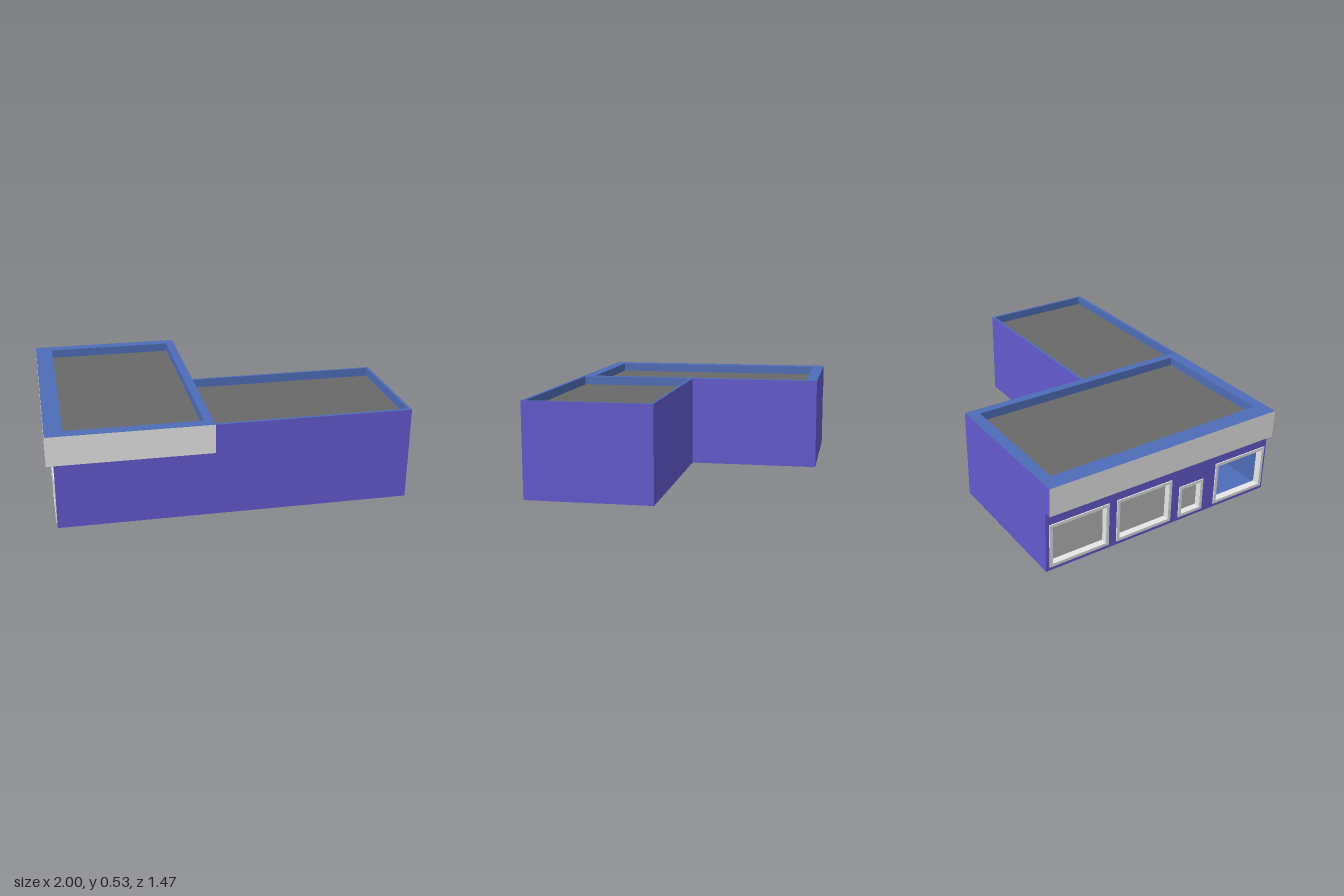
import * as THREE from 'three';

const H = 0.53, SIGN = 0.365, DECK = 0.48; // roof edge, signboard underside, roof deck
const FRONT = 0.735, BACK = -0.735, STEP = 0.029;

const paint = (name, color) => {
  const m = new THREE.MeshStandardMaterial({ color });
  m.name = name;
  return m;
};

// Vertical walls along a path of [x, z] points; seen from above, they face
// outwards when the path runs front left, front right, back right, back left
function wallGeometry(points, y0, y1) {
  const pos = [];
  for (let i = 0; i < points.length - 1; i++) {
    const [ax, az] = points[i], [bx, bz] = points[i + 1];
    pos.push(ax, y0, az, bx, y0, bz, bx, y1, bz, ax, y0, az, bx, y1, bz, ax, y1, az);
  }
  const g = new THREE.BufferGeometry();
  g.setAttribute('position', new THREE.Float32BufferAttribute(pos, 3));
  g.computeVertexNormals();
  return g;
}

// Flat horizontal plate from [x, z] points, facing up or down
function plateGeometry(points, y, up = true, holes = []) {
  const s = up ? -1 : 1;
  const toVec = (list) => list.map(([x, z]) => new THREE.Vector2(x, s * z));
  const shape = new THREE.Shape(toVec(points));
  shape.holes = holes.map((h) => new THREE.Path(toVec(h)));
  return new THREE.ShapeGeometry(shape).rotateX((s * Math.PI) / 2).translate(0, y, 0);
}

// Rectangle corners, ordered so that walls along them face inwards
const rect = (a0, a1, b0, b1) => [[a0, b0], [a1, b0], [a1, b1], [a0, b1]];

// Panel in the z-y plane with rectangular openings, thickened from x towards -x
function panelGeometry(outer, openings, x, depth) {
  const vec = (list) => list.map(([a, b]) => new THREE.Vector2(a, b));
  const shape = new THREE.Shape(vec(outer));
  shape.holes = openings.map((o) => new THREE.Path(vec(o).reverse()));
  return new THREE.ExtrudeGeometry(shape, { depth, bevelEnabled: false })
    .rotateY(-Math.PI / 2).translate(x, 0, 0);
}

export function createModel() {
  const purple = paint('purple wall', 0x645acf);
  const blue = paint('blue trim', 0x4e6cb8);
  const roofGray = paint('dark gray roof', 0x696969);
  const lightGray = paint('light gray', 0xe8e8e8);
  const paneGray = paint('window gray', 0xb8b8b8);

  const group = new THREE.Group();
  group.name = 'shopBuilding';
  const add = (name, geometry, material) => {
    const mesh = new THREE.Mesh(geometry, material);
    mesh.name = name;
    group.add(mesh);
  };

  // Outer walls
  const wing = [[-0.1, FRONT], [1, FRONT], [1, STEP], [-0.1, STEP], [-0.1, BACK]];
  add('wingWalls', wallGeometry(wing, 0, H), purple);
  add('frontWall', wallGeometry([[-0.96, FRONT], [-0.1, FRONT]], 0, SIGN), purple);
  add('backWall', wallGeometry([[-0.1, BACK], [-0.96, BACK]], 0, SIGN), purple);
  add('backUpperWall', wallGeometry([[-0.1, BACK], [-1, BACK]], SIGN, H), purple);

  // Overhanging signboard band
  add('signboard', wallGeometry([[-1, BACK], [-1, FRONT], [-0.1, FRONT]], SIGN, H), lightGray);
  add('signboardUnderside', plateGeometry(rect(-1, -0.93, BACK, FRONT), SIGN, false), lightGray);

  // Roof: rim with two sunken decks
  const recesses = [rect(-0.9, -0.15, -0.667, 0.665), rect(-0.1, 0.985, 0.044, 0.715)];
  add('roofRim', plateGeometry([[-1, FRONT], ...wing, [-1, BACK]], H, true, recesses), blue);
  for (const r of recesses) {
    add('parapetInside', wallGeometry([...r, r[0]], DECK, H), blue);
    add('roofDeck', plateGeometry(r, DECK), roofGray);
  }
  add('base', plateGeometry([[-0.96, FRONT], ...wing, [-0.96, BACK]], 0, false), blue);

  // Room behind the open shop window
  const room = rect(-0.93, -0.12, -0.725, 0.725);
  add('roomWalls', wallGeometry(room, 0.01, 0.47), blue);
  add('roomFloor', plateGeometry(room, 0.01), blue);
  add('roomCeiling', plateGeometry(room, 0.47, false), blue);

  // Shop front: z start, z end, top, has pane
  const windows = [
    [-0.715, -0.35, 0.285, true],
    [-0.3, 0.06, 0.285, true],
    [0.115, 0.28, 0.22, true],
    [0.365, 0.72, 0.285, false],
  ];
  const sill = 0.022, border = 0.018;
  const outlines = windows.map(([z0, z1, top]) => rect(z0, z1, sill, top));
  add('shopFrontWall', panelGeometry(rect(BACK, FRONT, 0, SIGN), outlines, -0.93, 0.03), purple);
  windows.forEach(([z0, z1, top, hasPane], i) => {
    const inner = rect(z0 + border, z1 - border, sill + border, top - border);
    add('windowFrame', panelGeometry(outlines[i], [inner], -0.925, 0.041), lightGray);
    if (hasPane) add('windowPane', panelGeometry(inner, [], -0.923, 0.006), paneGray);
  });

  return group;
}
